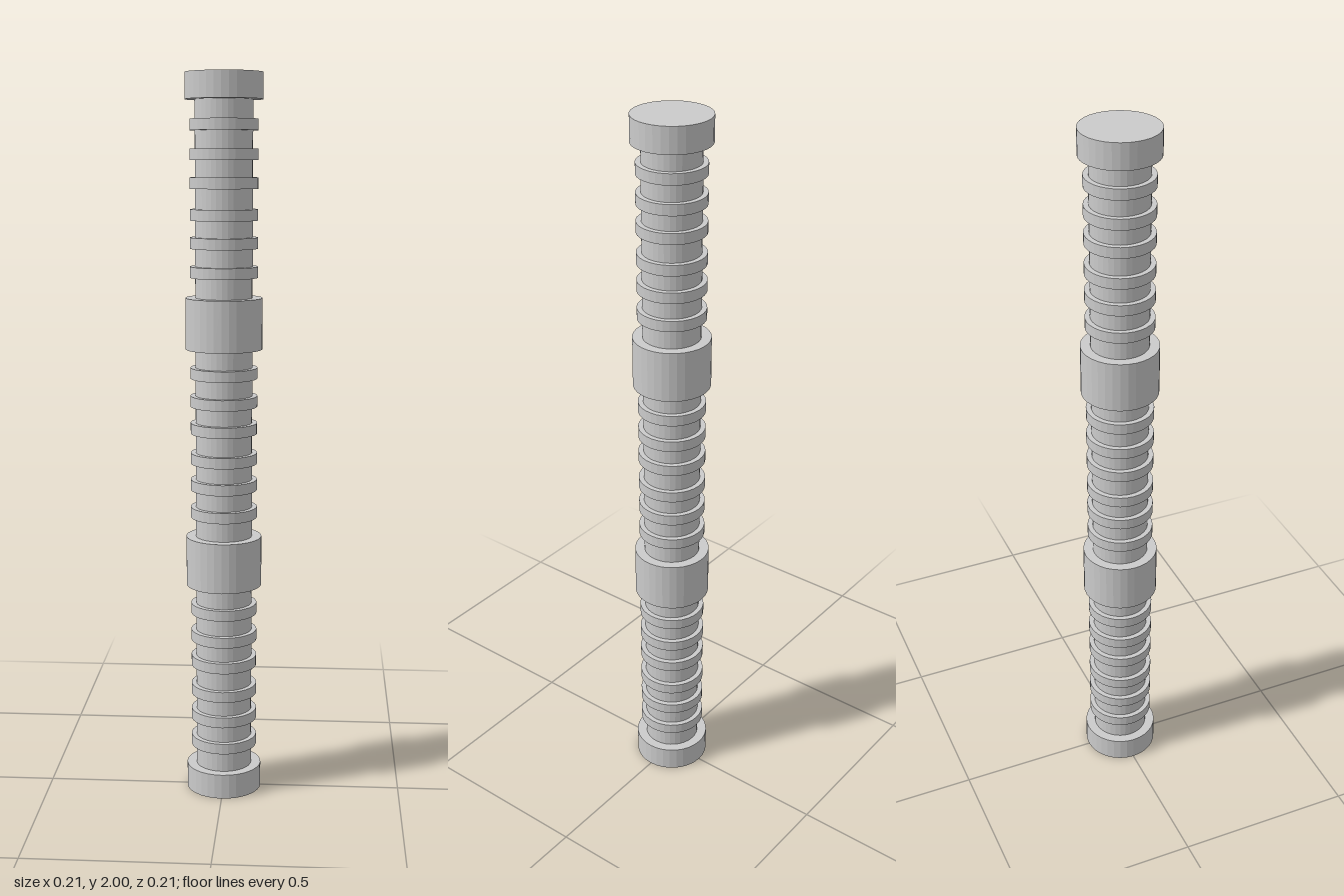
import * as THREE from 'three';

export function createModel() {
  const group = new THREE.Group();
  const material = new THREE.MeshStandardMaterial({ color: 0xcccccc, flatShading: true });
  const SIDES = 32;

  // upright cylinder between two heights
  function drum(name, radius, bottom, top) {
    const mesh = new THREE.Mesh(new THREE.CylinderGeometry(radius, radius, top - bottom, SIDES), material);
    mesh.name = name;
    mesh.position.y = (bottom + top) / 2;
    group.add(mesh);
  }

  // end caps and the two wide collars
  drum('bottomCap', 0.105, 0, 0.07);
  drum('lowerCollar', 0.105, 0.6, 0.74);
  drum('upperCollar', 0.105, 1.265, 1.405);
  drum('topCap', 0.105, 1.93, 2);

  // shaft sections, each with six thin rings
  const sections = [[0.07, 0.6], [0.74, 1.265], [1.405, 1.93]];
  const ringOffsets = [-0.195, -0.117, -0.042, 0.042, 0.117, 0.195];
  sections.forEach(([bottom, top], i) => {
    drum(`shaft${i + 1}`, 0.078, bottom, top);
    const middle = (bottom + top) / 2 + 0.002;
    ringOffsets.forEach((offset, j) => {
      const y = middle + offset;
      drum(`ring${i + 1}_${j + 1}`, 0.092, y - 0.015, y + 0.015);
    });
  });

  return group;
}
